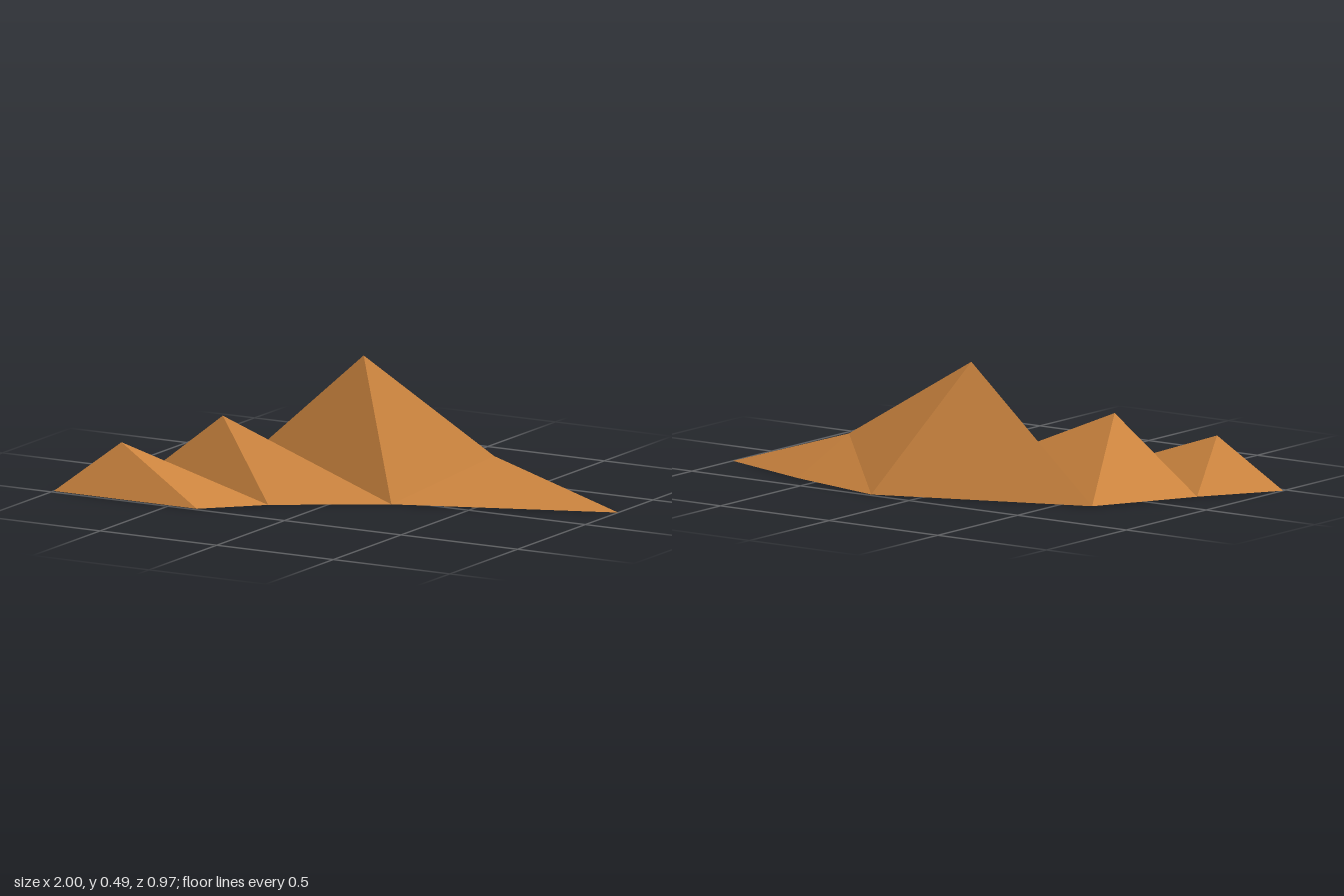
import * as THREE from 'three';

// Triangles joining a ring of points (anticlockwise from above) to an apex
function fan(apex, ring, closed = true) {
  const out = [];
  const count = closed ? ring.length : ring.length - 1;
  for (let i = 0; i < count; i++) {
    out.push(...ring[i], ...ring[(i + 1) % ring.length], ...apex);
  }
  return out;
}

function facetedMesh(name, positions, material) {
  const geometry = new THREE.BufferGeometry();
  geometry.setAttribute('position', new THREE.Float32BufferAttribute(positions, 3));
  geometry.computeVertexNormals();
  const mesh = new THREE.Mesh(geometry, material);
  mesh.name = name;
  return mesh;
}

export function createModel() {
  const group = new THREE.Group();
  group.name = 'mountainRange';

  const sandstone = new THREE.MeshStandardMaterial({
    color: 0xcd853f, flatShading: true, side: THREE.DoubleSide,
  });
  sandstone.name = 'sandstone';

  // Ground corners, shared between neighbouring mountains
  const backLeft = [-0.615, 0, -0.19], backRight = [0.185, 0, -0.485];
  const farBack = [0.6, 0, -0.38], tip = [1, 0, -0.243];
  const midRight = [0.2, 0, 0.055];
  const lowLeft = [-0.815, 0, 0.195], lowRight = [-0.19, 0, 0.293];
  const frontLeft = [-1, 0, 0.482], frontRight = [-0.385, 0, 0.485];

  // Tall mountain with a long shoulder running out to a point
  const summit = [-0.07, 0.487, -0.205], shoulder = [0.475, 0.16, -0.23];
  group.add(facetedMesh('tallMountain', [
    ...fan(summit, [backLeft, midRight, shoulder, backRight]),
    ...fan(shoulder, [midRight, tip, farBack, backRight], false),
  ], sandstone));

  // Two smaller four-sided foothills, open underneath
  group.add(facetedMesh('middleMountain',
    fan([-0.465, 0.283, 0.155], [lowLeft, lowRight, midRight, backLeft]), sandstone));
  group.add(facetedMesh('frontMountain',
    fan([-0.76, 0.195, 0.395], [frontLeft, frontRight, lowRight, lowLeft]), sandstone));

  return group;
}
